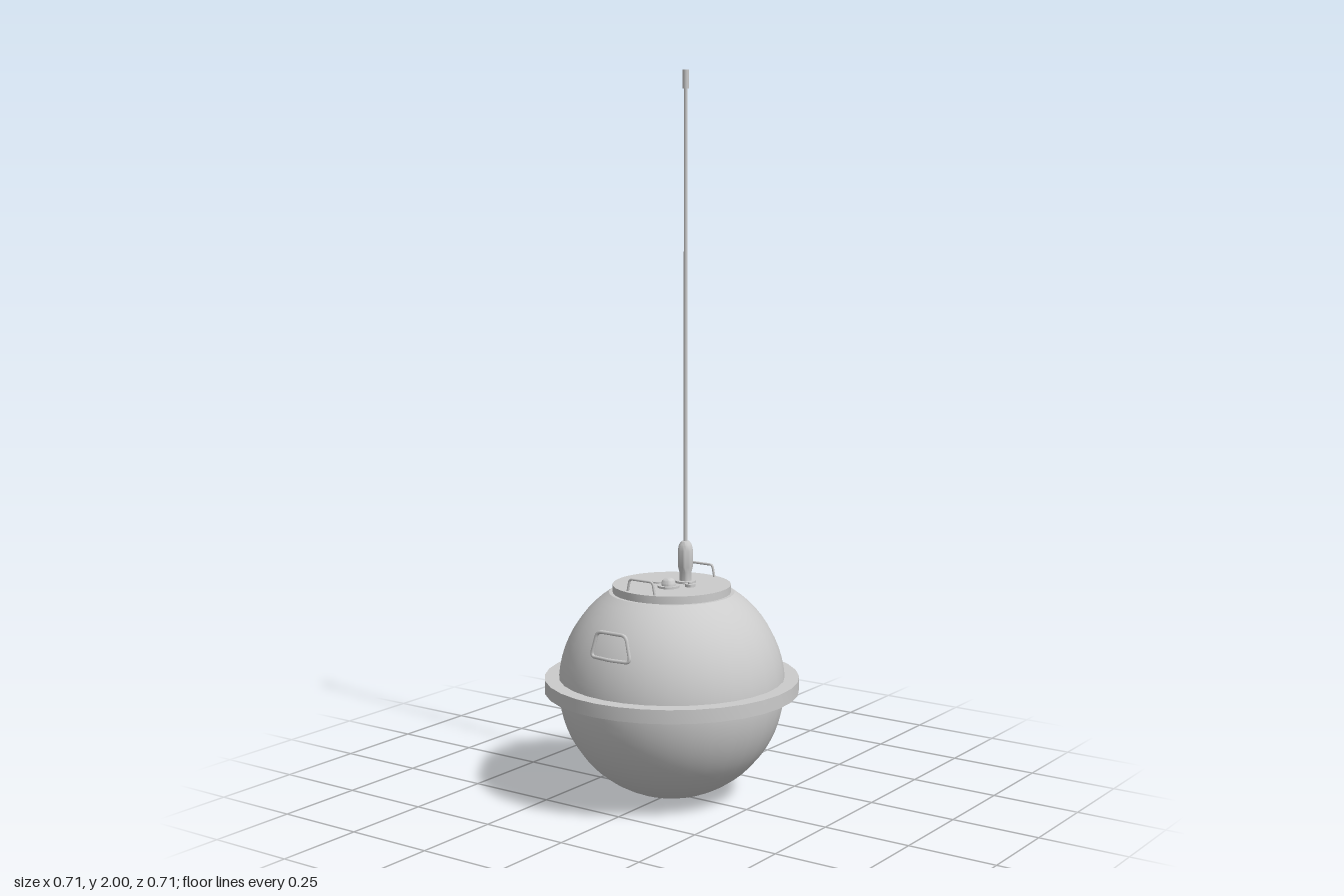
import * as THREE from 'three';
import { toCreasedNormals } from 'three/addons/utils/BufferGeometryUtils.js';

const material = new THREE.MeshStandardMaterial({ color: 0xcccccc });
const CENTER_Y = 0.316, RADIUS = 0.315, DECK_Y = 0.6;

function add(parent, name, geometry, x = 0, y = 0, z = 0) {
  const mesh = new THREE.Mesh(geometry, material);
  mesh.name = name;
  mesh.position.set(x, y, z);
  parent.add(mesh);
  return mesh;
}

// Turned part from [radius, height] pairs, listed from bottom to top
function turned(points, segments = 24, crease = 0.6) {
  const profile = points.map(([r, y]) => new THREE.Vector2(r, y));
  return toCreasedNormals(new THREE.LatheGeometry(profile, segments), crease);
}

// Bent rod through corner points, with each inner corner rounded off
function bentRod(points, radius, round, closed = false) {
  const path = new THREE.CurvePath();
  const v = points.map((p) => new THREE.Vector3(...p));
  const n = v.length;
  const toward = (a, b) => a.clone().add(b.clone().sub(a).setLength(round));
  let from = closed ? toward(v[0], v[1]) : v[0];
  for (let i = 1; i < (closed ? n + 1 : n - 1); i++) {
    const c = v[i % n], next = v[(i + 1) % n];
    const start = toward(c, v[i - 1]), end = toward(c, next);
    path.add(new THREE.LineCurve3(from, start));
    path.add(new THREE.QuadraticBezierCurve3(start, c, end));
    from = end;
  }
  if (!closed) path.add(new THREE.LineCurve3(from, v[n - 1]));
  return new THREE.TubeGeometry(path, 64, radius, 8, closed);
}

export function createModel() {
  const buoy = new THREE.Group();
  buoy.name = 'buoy';

  // Spherical hull, cut flat under the lid
  const hull = [];
  const cut = Math.PI - Math.asin(0.174 / RADIUS);
  for (let i = 0; i <= 28; i++) {
    const a = (cut * i) / 28;
    hull.push([RADIUS * Math.sin(a), CENTER_Y - RADIUS * Math.cos(a)]);
  }
  hull.push([0, hull[28][1]]);
  add(buoy, 'hull', turned(hull, 32));

  // Flange around the equator
  add(buoy, 'equatorFlange', turned(
    [[0.3, 0.302], [0.354, 0.302], [0.354, 0.34], [0.3, 0.34], [0.3, 0.302]], 32, 0.4));

  // Lid
  add(buoy, 'lid', turned([[0, 0.57], [0.164, 0.57], [0.164, DECK_Y], [0, DECK_Y]], 32));

  // Lifting handles on the lid and the hull, mirrored left and right
  for (const side of [1, -1]) {
    const label = side > 0 ? 'left' : 'right';
    const x = 0.144 * side;
    add(buoy, label + 'LidHandle', bentRod([
      [x, 0.595, -0.046], [x, 0.634, -0.038], [x, 0.634, 0.038], [x, 0.595, 0.046],
    ], 0.0035, 0.009));
    const s = (d) => d * side;
    add(buoy, label + 'HullHandle', bentRod([
      [s(0.291), 0.444, 0], [s(0.283), 0.444, 0.065], [s(0.278), 0.514, 0.047],
      [s(0.278), 0.514, -0.047], [s(0.283), 0.444, -0.065],
    ], 0.005, 0.015, true));
  }

  // Whip antenna with its socket and tip
  const antenna = new THREE.Group();
  antenna.name = 'antenna';
  antenna.position.set(0.04, DECK_Y, 0.018);
  buoy.add(antenna);
  add(antenna, 'antennaBase', turned([
    [0, 0], [0.029, 0], [0.029, 0.006], [0.017, 0.006], [0.017, 0.03], [0.021, 0.045],
    [0.021, 0.09], [0.018, 0.106], [0.011, 0.116], [0, 0.118],
  ]));
  add(antenna, 'antennaRod', new THREE.CylinderGeometry(0.005, 0.006, 1.26, 12), 0, 0.74, 0);
  add(antenna, 'antennaTip', new THREE.CylinderGeometry(0.0085, 0.0085, 0.05, 12), 0, 1.375, 0);

  // Signal lamp: dome on a round base
  const lamp = [[0, 0], [0.03, 0], [0.03, 0.006], [0.02, 0.006]];
  for (let i = 1; i <= 8; i++) {
    const a = (i * Math.PI) / 16;
    lamp.push([0.02 * Math.cos(a), 0.009 + 0.019 * Math.sin(a)]);
  }
  add(buoy, 'signalLamp', turned(lamp), -0.041, DECK_Y, 0.018);

  // Filler cap and small valve
  add(buoy, 'fillerCap', turned(
    [[0, 0], [0.025, 0], [0.025, 0.005], [0, 0.005]]), -0.002, DECK_Y, -0.047);
  add(buoy, 'valve', turned([
    [0, 0], [0.014, 0], [0.014, 0.008], [0.006, 0.008], [0.006, 0.013], [0, 0.013],
  ]), 0, DECK_Y, 0.062);

  // Mooring lug: thin round plate low on the back
  const lug = new THREE.CylinderGeometry(0.043, 0.043, 0.026, 24).rotateZ(Math.PI / 2);
  add(buoy, 'mooringLug', lug, -0.035, 0.073, -0.2);

  return buoy;
}
